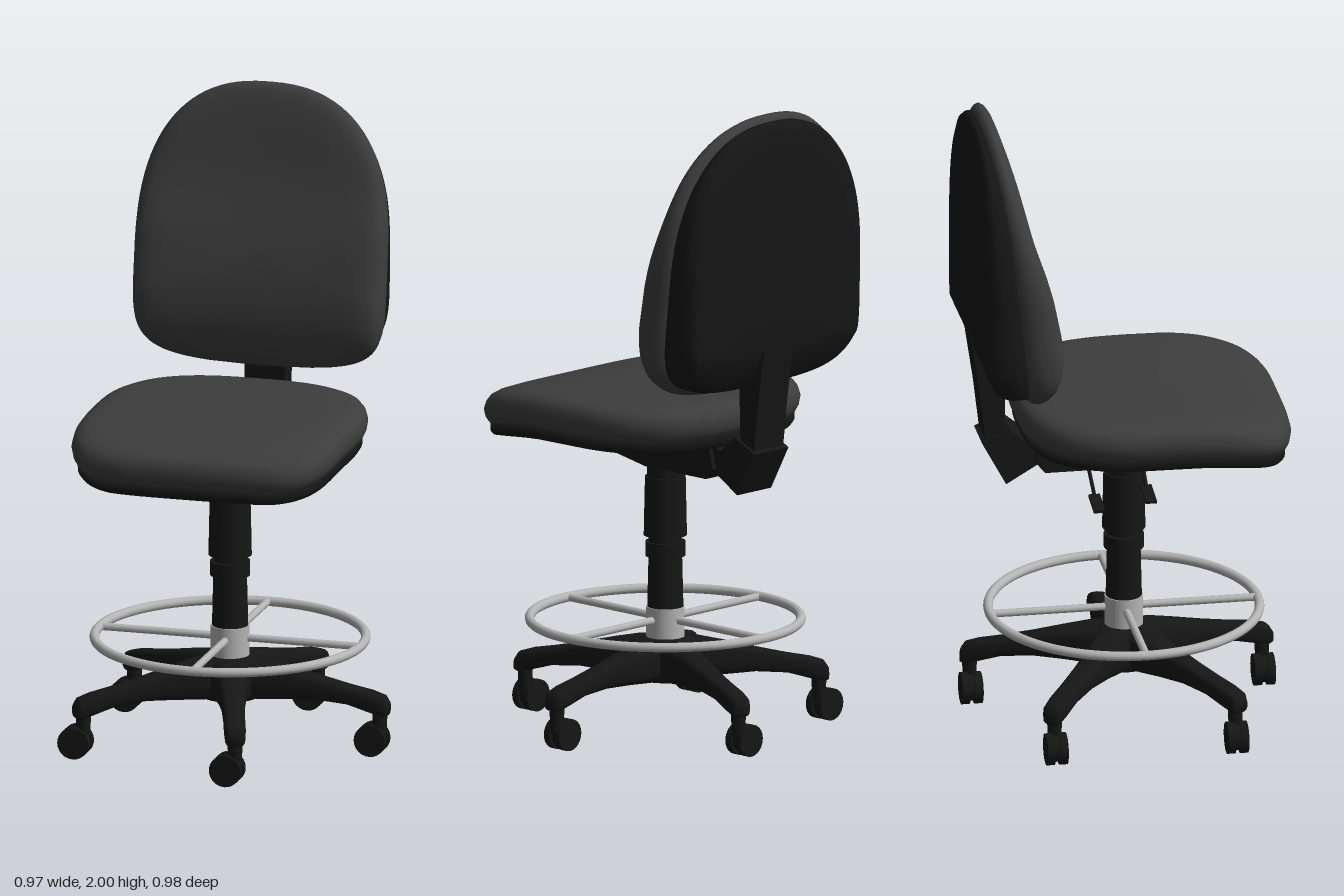
import * as THREE from 'three';

const cushionMat = new THREE.MeshStandardMaterial({ color: 0x3d3d3d });
cushionMat.name = 'charcoal fabric';
const blackMat = new THREE.MeshStandardMaterial({ color: 0x161616 });
blackMat.name = 'black plastic';
const metalMat = new THREE.MeshStandardMaterial({ color: 0xb4b4b4 });
metalMat.name = 'grey metal';

const CX = -0.02; // axis of the column

function add(parent, name, geometry, material, x = 0, y = 0, z = 0) {
  const mesh = new THREE.Mesh(geometry, material);
  mesh.name = name;
  mesh.position.set(x, y, z);
  parent.add(mesh);
  return mesh;
}

// Skin a list of closed rings of points
function loft(rings) {
  const n = rings[0].length;
  const index = [];
  for (let i = 0; i < rings.length - 1; i++) {
    for (let j = 0; j < n; j++) {
      const k = (j + 1) % n;
      const a = i * n + j, b = i * n + k, c = a + n, d = b + n;
      index.push(a, b, c, b, d, c);
    }
  }
  const g = new THREE.BufferGeometry();
  g.setAttribute('position', new THREE.Float32BufferAttribute(rings.flat(2), 3));
  g.setIndex(index);
  g.computeVertexNormals();
  return g;
}

const power = (c, n) => Math.sign(c) * Math.abs(c) ** (2 / n);

// Padded slab: rounded outline (-1..1), profile of [scale, height], placed by a map
function pad(nNeg, nPos, profile, map) {
  const count = 96;
  return loft(profile.map(([s, h]) => Array.from({ length: count }, (_, j) => {
    const t = (j / count) * Math.PI * 2;
    const n = Math.sin(t) < 0 ? nNeg : nPos;
    return map(s * power(Math.cos(t), n), s * power(Math.sin(t), n), h);
  })));
}

// Side profile in (z, y), extruded across x
function sidePlate(points, width) {
  const shape = new THREE.Shape(points.map(([z, y]) => new THREE.Vector2(z, y)));
  const g = new THREE.ExtrudeGeometry(shape, { depth: width, bevelEnabled: false });
  return g.rotateY(-Math.PI / 2).translate(CX + width / 2, 0, 0);
}

function rod(parent, name, from, to, radius, material) {
  const path = new THREE.LineCurve3(new THREE.Vector3(...from), new THREE.Vector3(...to));
  return add(parent, name, new THREE.TubeGeometry(path, 1, radius, 12), material);
}

const cushionProfile = [[0, 1], [0.2, 1], [0.4, 1], [0.55, 1], [0.7, 1], [0.82, 0.99], [0.9, 0.95], [0.955, 0.86],
  [0.985, 0.71], [1, 0.5], [0.99, 0.28], [0.965, 0.1], [0.92, 0], [0.6, 0], [0, 0]];
const shellProfile = [[0, 0], [0.6, 0], [0.8, 0], [0.96, 0], [0.96, 0.55], [0.94, 0.85], [0.89, 1],
  [0.75, 1], [0.6, 1], [0.3, 1], [0, 1]];

function buildSeat(group) {
  // The front edge falls away
  const place = (low, high) => (u, v, h) => {
    const z = 0.07 + 0.42 * v;
    const drop = 0.045 * Math.min(1, Math.max(0, (z - 0.12) / 0.33)) ** 2;
    return [CX + 0.425 * u, low + (high - low) * h - drop, z];
  };
  add(group, 'seatCushion', pad(2.8, 4.3, cushionProfile, place(0.975, 1.09)), cushionMat);
  add(group, 'seatPan', pad(2.8, 4.3, shellProfile, place(0.985, 0.94)), blackMat);
}

function buildBackrest(group) {
  const front = new THREE.SplineCurve([-0.29, -0.25, -0.253, -0.288, -0.335, -0.368, -0.395]
    .map((z, i) => new THREE.Vector2(i, z)));
  const frontZ = (y) => front.getPoint(Math.min(1, Math.max(0, (y - 1.1) / 0.9))).y;
  const rearZ = (y) => -0.355 - 0.1 * (y - 1.12) / 0.88;
  // The lower edge bows up towards its corners
  const heightAt = (u, v) => (v < 0 ? 1.5 - 0.5 * v : 1.5 - v * (0.38 - 0.035 * u * u));
  add(group, 'backCushion', pad(2.4, 6, cushionProfile, (u, v, h) => {
    const y = heightAt(u, v);
    return [-0.017 + 0.403 * u, y, THREE.MathUtils.lerp(rearZ(y), frontZ(y), h) + 0.012 * (u * u - 0.5)];
  }), cushionMat);
  // The shell tapers forward below the bracket
  add(group, 'backShell', pad(2.4, 6, shellProfile, (u, v, h) => {
    const y = heightAt(u, v);
    const back = -0.485 + 0.45 * Math.max(0, 1.27 - y);
    return [-0.02 + 0.4 * u, y, THREE.MathUtils.lerp(rearZ(y) + 0.01, back, h)];
  }), blackMat);
}

function buildMechanism(group) {
  add(group, 'tiltMechanism', sidePlate(
    [[0.19, 0.95], [0.19, 0.87], [0, 0.835], [-0.26, 0.835], [-0.29, 0.87], [-0.27, 0.95]], 0.18), blackMat);
  add(group, 'rearKnuckle', sidePlate(
    [[-0.25, 0.94], [-0.28, 0.86], [-0.38, 0.8], [-0.455, 0.94], [-0.37, 0.98], [-0.31, 0.93]], 0.15), blackMat);
  add(group, 'backBracket', sidePlate(
    [[-0.385, 0.93], [-0.44, 0.93], [-0.46, 1.1], [-0.487, 1.28], [-0.44, 1.3], [-0.38, 1.14]], 0.13), blackMat);
  // Two adjusting levers with flat paddles
  for (const [z, x] of [[-0.13, -0.25], [0.04, -0.2]]) {
    rod(group, 'lever', [-0.08, 0.88, z], [x, 0.805, z], 0.006, blackMat);
    const paddle = add(group, 'leverPaddle', new THREE.BoxGeometry(0.1, 0.01, 0.035), blackMat, x - 0.04, 0.797, z);
    paddle.rotation.z = 0.15;
  }
}

function buildColumn(group) {
  // name, bottom, top, lower radius, upper radius, material
  const parts = [
    ['columnCollar', 0.27, 0.38, 0.06, 0.06, metalMat],
    ['lowerSleeve', 0.38, 0.54, 0.056, 0.052, blackMat],
    ['sleeveBand', 0.54, 0.585, 0.062, 0.062, blackMat],
    ['sleeveNeck', 0.585, 0.605, 0.05, 0.05, blackMat],
    ['upperSleeve', 0.605, 0.79, 0.067, 0.063, blackMat],
    ['columnTop', 0.79, 0.86, 0.056, 0.056, blackMat],
  ];
  for (const [name, y0, y1, r0, r1, mat] of parts) {
    add(group, name, new THREE.CylinderGeometry(r1, r0, y1 - y0, 28), mat, CX, (y0 + y1) / 2, 0);
  }
}

function buildFootRing(group) {
  const ring = new THREE.TorusGeometry(0.418, 0.015, 12, 72).rotateX(Math.PI / 2);
  add(group, 'footRing', ring, metalMat, CX, 0.342, 0);
  for (let i = 0; i < 4; i++) {
    const a = (i * Math.PI) / 2;
    const c = Math.cos(a), s = Math.sin(a);
    rod(group, 'footRingSpoke', [CX + 0.04 * c, 0.342, 0.04 * s], [CX + 0.415 * c, 0.342, 0.415 * s], 0.012, metalMat);
  }
}

function legGeometry() {
  // distance out, top, bottom, half width
  const sections = [[0.02, 0.285, 0.16, 0.07], [0.1, 0.282, 0.155, 0.062], [0.18, 0.265, 0.16, 0.046],
    [0.28, 0.24, 0.165, 0.037], [0.38, 0.217, 0.157, 0.034], [0.455, 0.203, 0.135, 0.034],
    [0.495, 0.19, 0.125, 0.032], [0.508, 0.17, 0.13, 0.025]];
  const ring = ([r, top, bottom, w], s = 1) => Array.from({ length: 16 }, (_, j) => {
    const t = (j / 16) * Math.PI * 2;
    return [r, (top + bottom) / 2 + s * power(Math.cos(t), 3.2) * (top - bottom) / 2, s * power(Math.sin(t), 3.2) * w];
  });
  const rings = sections.map((s) => ring(s));
  rings.push(ring(sections[sections.length - 1], 0)); // closed tip
  return loft(rings);
}

function buildBase(group) {
  const hub = [[0, 0.155], [0.09, 0.155], [0.105, 0.18], [0.1, 0.25], [0.075, 0.285], [0, 0.29]]
    .map(([r, y]) => new THREE.Vector2(r, y));
  add(group, 'baseHub', new THREE.LatheGeometry(hub, 30), blackMat, CX, 0, 0);
  const leg = legGeometry();
  const wheel = new THREE.CylinderGeometry(0.05, 0.05, 0.024, 24).rotateX(Math.PI / 2);
  const core = new THREE.CylinderGeometry(0.042, 0.042, 0.02, 20).rotateX(Math.PI / 2);
  for (let i = 0; i < 5; i++) {
    const a = (i * Math.PI * 2) / 5;
    add(group, 'baseLeg', leg, blackMat, CX, 0, 0).rotation.y = a;
    // All casters trail towards the same side
    const caster = new THREE.Group();
    caster.name = 'caster';
    caster.position.set(CX + 0.48 * Math.cos(a), 0, -0.48 * Math.sin(a));
    add(caster, 'casterStem', new THREE.CylinderGeometry(0.024, 0.02, 0.09, 14), blackMat, 0, 0.1, 0);
    add(caster, 'casterCore', core, blackMat, -0.025, 0.052, 0);
    for (const side of [-1, 1]) add(caster, 'casterWheel', wheel, blackMat, -0.025, 0.05, side * 0.02);
    group.add(caster);
  }
}

export function createModel() {
  const model = new THREE.Group();
  model.name = 'draftingChair';
  const sections = { seat: buildSeat, backrest: buildBackrest, mechanism: buildMechanism,
    column: buildColumn, footRest: buildFootRing, base: buildBase };
  for (const [name, build] of Object.entries(sections)) {
    const group = new THREE.Group();
    group.name = name;
    build(group);
    model.add(group);
  }
  return model;
}
